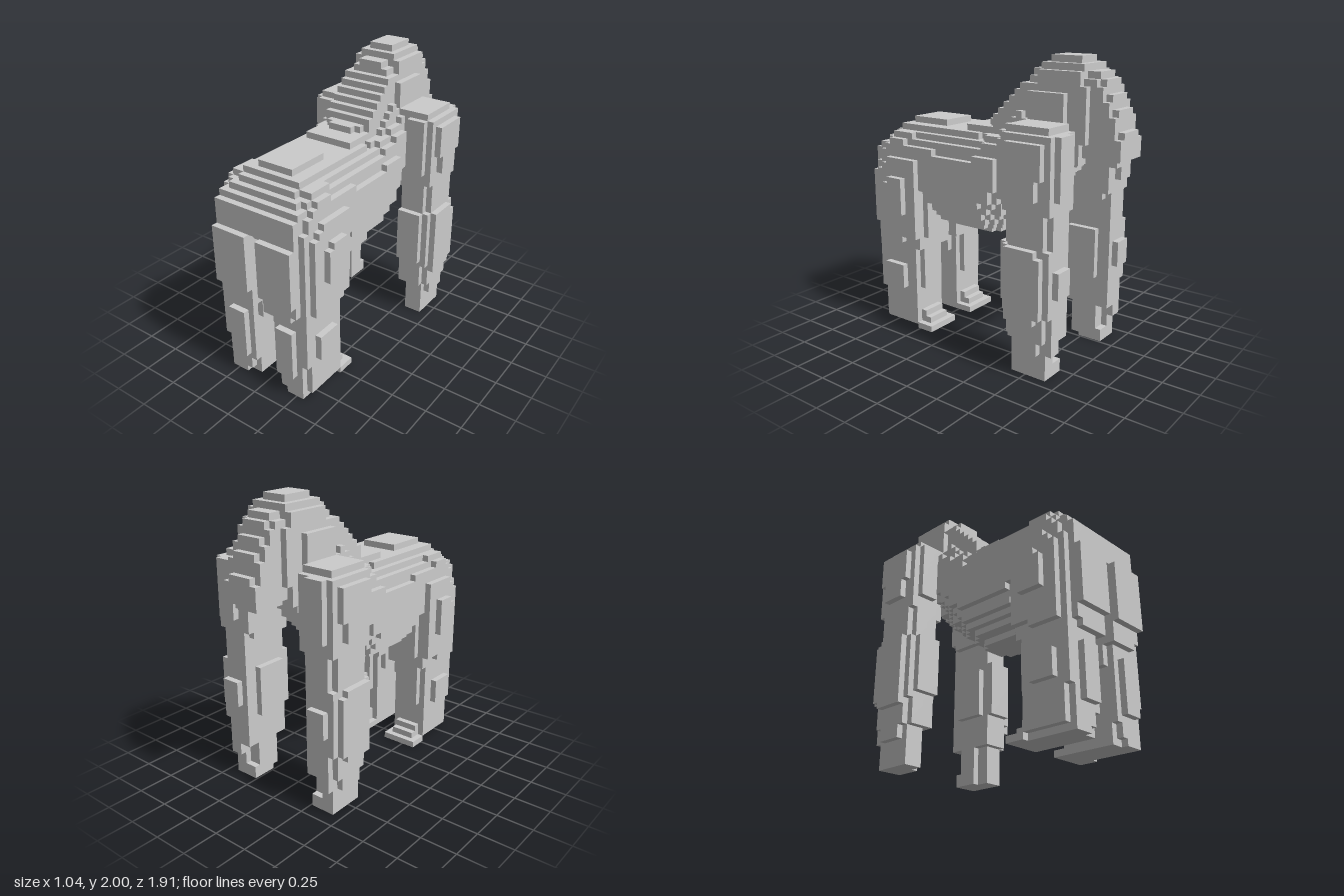
import * as THREE from 'three';

const UNIT = 2 / 46; // edge of one cube
const owner = new Map(); // "x,y,z" -> part name

function fill(part, x0, x1, y0, y1, z0, z1) {
  for (let x = x0; x < x1; x++)
    for (let y = y0; y < y1; y++)
      for (let z = z0; z < z1; z++) {
        const key = `${x},${y},${z}`;
        if (!owner.has(key)) owner.set(key, part);
      }
}

// Centred block, w cubes to each side
const centred = (part, w, y0, y1, z0, z1) => fill(part, -w, w, y0, y1, z0, z1);

// The same block on both sides of the body
function pair(part, x0, x1, y0, y1, z0, z1) {
  fill('left' + part, x0, x1, y0, y1, z0, z1);
  fill('right' + part, -x1, -x0, y0, y1, z0, z1);
}

// Linear interpolation of rows [z, ...values] sorted by z
function sample(rows, z) {
  let i = 0;
  while (i < rows.length - 2 && z > rows[i + 1][0]) i++;
  const a = rows[i], b = rows[i + 1];
  const t = Math.min(1, Math.max(0, (z - a[0]) / (b[0] - a[0])));
  return a.map((v, j) => v + (b[j] - v) * t);
}

function buildArms() {
  pair('Arm', 5, 10, 24, 37, -15, -8); // shoulder
  pair('Arm', 5, 11, 25, 36, -16, -8);
  pair('Arm', 7, 10, 27, 36, -17, -16);
  pair('Arm', 7, 10, 27, 36, -8, -7);
  pair('Arm', 11, 12, 27, 35, -14, -10);
  pair('Arm', 11, 12, 30, 35, -15, -9);
  pair('Arm', 6, 10, 6, 25, -16, -8); // forearm
  pair('Arm', 6, 11, 6, 25, -15, -9);
  pair('Arm', 10, 11, 10, 20, -16, -8);
  pair('Arm', 6, 10, 11, 20, -8, -7);
  pair('Arm', 7, 10, 13, 17, -17, -16);
  pair('Arm', 11, 12, 9, 20, -14, -9);
  pair('Arm', 11, 12, 10, 19, -15, -9);
  pair('Arm', 5, 6, 11, 19, -14, -9);
  pair('Arm', 6, 10, 0, 2, -15, -11); // fist
  pair('Arm', 6, 10, 2, 6, -14, -11);
  pair('Arm', 7, 10, 0, 6, -11, -9);
  pair('Arm', 8, 10, 2, 6, -15, -14);
  pair('Arm', 10, 11, 4, 6, -14, -10);
  pair('Arm', 8, 10, 4, 6, -16, -15);
}

function buildLegs() {
  pair('Leg', 2, 7, 0, 18, 12, 19); // shin
  pair('Leg', 2, 8, 1, 18, 12, 19);
  pair('Leg', 2, 7, 3, 18, 19, 20);
  pair('Leg', 7, 8, 6, 18, 19, 20);
  pair('Leg', 3, 7, 1, 3, 19, 20);
  pair('Leg', 4, 7, 0, 1, 19, 20);
  pair('Leg', 3, 7, 7, 18, 11, 12);
  pair('Leg', 3, 6, 4, 12, 20, 21);
  pair('Leg', 8, 9, 7, 11, 14, 18);
  pair('Leg', 1, 2, 11, 20, 13, 19);
  pair('Leg', 2, 8, 0, 1, 9, 12); // stepped toes
  pair('Leg', 3, 7, 1, 2, 10, 12);
  pair('Leg', 3, 7, 2, 3, 11, 12);
  pair('Leg', 1, 8, 14, 28, 11, 20); // thigh
  pair('Leg', 2, 7, 16, 24, 10, 11);
  pair('Leg', 8, 9, 16, 29, 11, 14);
  pair('Leg', 8, 9, 15, 29, 14, 17);
  pair('Leg', 8, 9, 15, 28, 17, 18);
  pair('Leg', 8, 9, 15, 27, 18, 19);
  pair('Leg', 9, 10, 20, 25, 13, 17);
  pair('Leg', 9, 10, 25, 26, 13, 16);
  pair('Leg', 1, 7, 15, 29, 20, 21); // buttock
  pair('Leg', 1, 6, 14, 30, 20, 21);
  pair('Leg', 1, 7, 17, 26, 21, 22);
}

function buildTorso() {
  // z, top, bottom, half width, roundness of the back
  const rows = [
    [-14, 38, 31, 5, 3], [-8, 38, 24, 6.5, 3], [-5, 36, 22, 7.2, 3], [-3, 35, 20, 8, 3],
    [0, 34, 18, 8, 3], [8, 34, 18, 8, 3], [12, 34, 20, 8, 3], [16, 34, 22, 8, 3.5],
    [20.5, 30, 26, 7.3, 6],
  ];
  const bellyRoundness = 2.1;
  for (let z = -14; z < 21; z++) {
    const [, top, bottom, w, roundness] = sample(rows, z + 0.5);
    const mid = (top + bottom) / 2, h = (top - bottom) / 2;
    for (let y = Math.round(bottom); y < Math.round(top); y++) {
      const power = y + 0.5 > mid ? roundness : bellyRoundness;
      const t = Math.min(1, Math.abs(y + 0.5 - mid) / h);
      const half = Math.round(w * Math.pow(1 - Math.pow(t, power), 1 / power));
      centred('torso', Math.max(1, half), y, y + 1, z, z + 1);
    }
  }
  centred('torso', 3, 34, 35, 9, 16); // rump pad
  centred('torso', 5, 33, 34, 1, 17);
  centred('torso', 4, 33, 35, -1, 4); // loin
  centred('torso', 2, 35, 36, 0, 1);
  // stepped mane from back to crown
  [36, 37, 38, 39, 40, 41, 42].forEach((top, i) => {
    centred('mane', i ? 4 : 3, 30, top, -1 - i, -i);
    if (i > 3) centred('mane', 5, 30, top - 4, -1 - i, -i);
  });
}

function buildHead() {
  centred('head', 4, 31, 44, -16, -9); // skull
  centred('head', 4, 34, 42, -17, -16);
  centred('head', 4, 31, 42, -9, -7);
  centred('head', 3, 42, 43, -9, -7);
  centred('head', 2, 43, 44, -9, -7);
  centred('head', 5, 34, 41, -14, -8);
  centred('head', 3, 44, 45, -16, -9);
  centred('head', 2, 45, 46, -15, -10);
  // face, sloping down to the muzzle
  [45, 44, 44, 43, 41, 39, 36].forEach((top, i) => {
    const z = -16 - i;
    centred('head', 3, 32, top - 1, z, z + 1);
    centred('head', 2, top - 1, top, z, z + 1);
  });
  centred('head', 2, 31, 32, -21, -16); // chin
}

// Turns the cubes of each part into a mesh of their outer faces
function skin(group, material) {
  const parts = {};
  for (const [key, part] of owner) {
    const cell = key.split(',').map(Number);
    const data = (parts[part] ??= { position: [], normal: [] });
    for (let a = 0; a < 3; a++)
      for (const s of [1, -1]) {
        const next = cell.slice();
        next[a] += s;
        if (owner.has(next.join(','))) continue;
        const u = (a + 1) % 3, v = (a + 2) % 3;
        const ring = [[0, 0], [1, 0], [1, 1], [0, 1]].map(([p, q]) => {
          const c = cell.slice();
          c[a] += s > 0 ? 1 : 0;
          c[u] += p;
          c[v] += q;
          return c.map((n) => n * UNIT);
        });
        if (s < 0) ring.reverse();
        const n = [0, 0, 0];
        n[a] = s;
        for (const i of [0, 1, 2, 0, 2, 3]) {
          data.position.push(...ring[i]);
          data.normal.push(...n);
        }
      }
  }
  for (const [name, data] of Object.entries(parts)) {
    const geometry = new THREE.BufferGeometry();
    for (const attribute of ['position', 'normal'])
      geometry.setAttribute(attribute, new THREE.Float32BufferAttribute(data[attribute], 3));
    const mesh = new THREE.Mesh(geometry, material);
    mesh.name = name;
    group.add(mesh);
  }
}

export function createModel() {
  const group = new THREE.Group();
  group.name = 'gorilla';
  owner.clear();
  buildArms();
  buildLegs();
  buildHead();
  buildTorso();
  skin(group, new THREE.MeshStandardMaterial({ color: 0xcccccc, flatShading: true }));
  return group;
}
